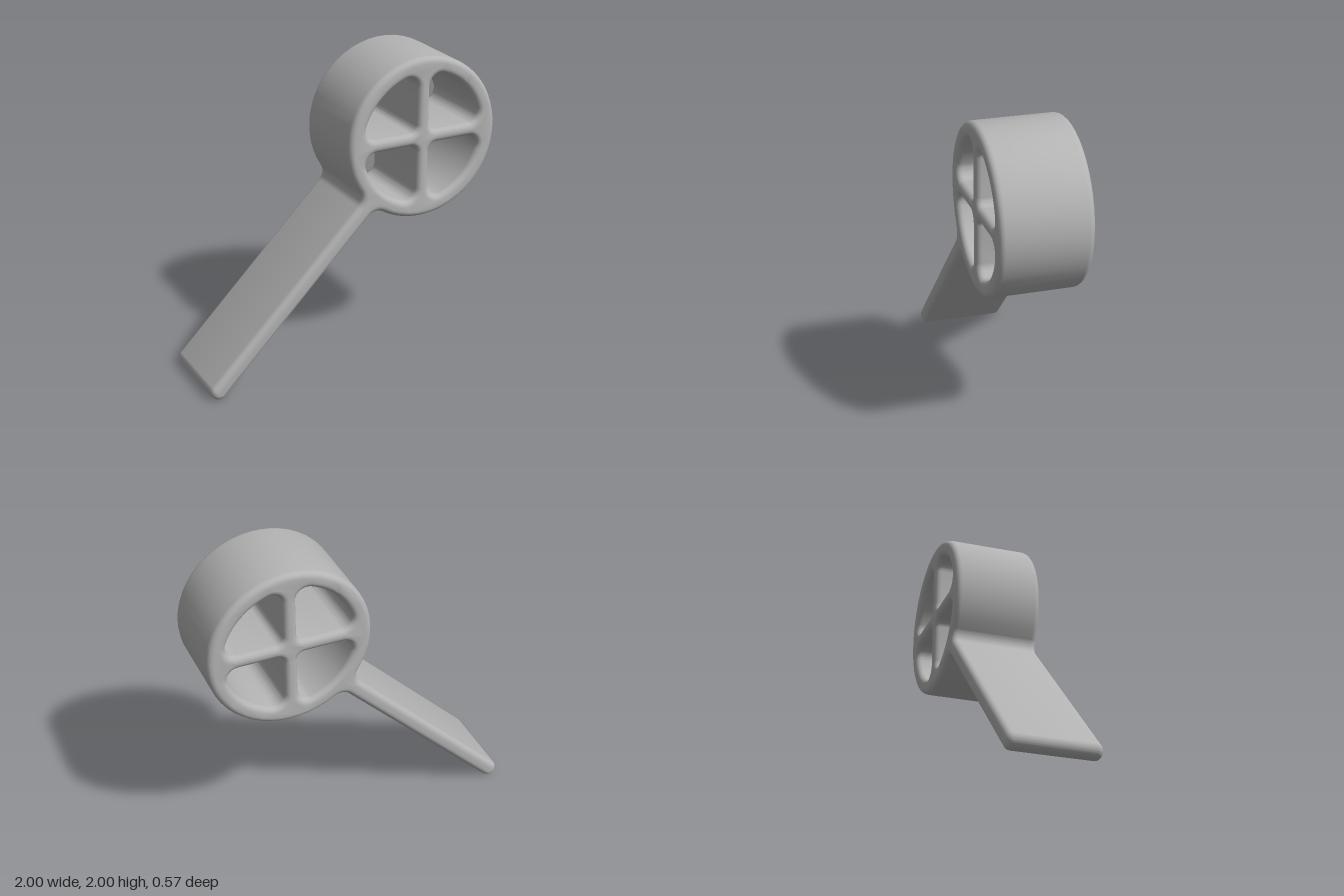
import * as THREE from 'three';
import { toCreasedNormals } from 'three/addons/utils/BufferGeometryUtils.js';

const PI = Math.PI;
const RING = 0.523, INNER = 0.42;      // wheel radii
const HALF = 0.053, LENGTH = 2.01;     // handle half thickness, wheel centre to tip centre
const SPOKE = 0.042;                   // spoke half thickness
const WIDTH = 0.57, BEVEL = 0.038;

// Wheel rim with the handle running along -x, filleted where they meet
function outline() {
  const f = 0.08;
  const y = HALF + f;
  const x = Math.sqrt((RING + f) ** 2 - y ** 2);
  const a = Math.atan2(y, x);
  const s = new THREE.Shape();
  s.absarc(0, 0, RING, -PI + a, PI - a, false);
  s.absarc(-x, y, f, -a, -PI / 2, true);
  s.absarc(-LENGTH, 0, HALF, PI / 2, PI * 1.5, false);
  s.absarc(-x, -y, f, PI / 2, a, true);
  return s;
}

// Rounded quarter-circle opening between two spokes, turned by angle
function opening(angle) {
  const fc = 0.05, fo = 0.07;
  const c = SPOKE + fc, y = SPOKE + fo;
  const x = Math.sqrt((INNER - fo) ** 2 - y ** 2);
  const g = Math.atan2(y, x);
  const p = new THREE.Path();
  p.absarc(c, c, fc, PI, PI * 1.5, false);
  p.absarc(x, y, fo, -PI / 2, g, false);
  p.absarc(0, 0, INNER, g, PI / 2 - g, false);
  p.absarc(y, x, fo, PI / 2 - g, PI, false);
  const origin = new THREE.Vector2();
  return new THREE.Path(p.getPoints(8).map(v => v.rotateAround(origin, angle)));
}

export function createModel() {
  const grey = new THREE.MeshStandardMaterial({ color: 0xb4b4b4 });
  grey.name = 'grey';

  const shape = outline();
  for (let k = 0; k < 4; k++) shape.holes.push(opening(k * PI / 2 - PI / 4));

  // One continuous body with softly rounded edges
  const depth = WIDTH - 2 * BEVEL;
  const geometry = new THREE.ExtrudeGeometry(shape, {
    depth, curveSegments: 24, bevelEnabled: true,
    bevelThickness: BEVEL, bevelSize: BEVEL, bevelOffset: -BEVEL, bevelSegments: 5,
  });
  geometry.translate(0, 0, -depth / 2);
  geometry.rotateZ(PI / 4);
  geometry.translate(0.475, 1.477, 0);

  const body = new THREE.Mesh(toCreasedNormals(geometry, 0.7), grey);
  body.name = 'spokedWheelWithHandle';

  const model = new THREE.Group();
  model.name = 'spokedPaddle';
  model.add(body);
  return model;
}
